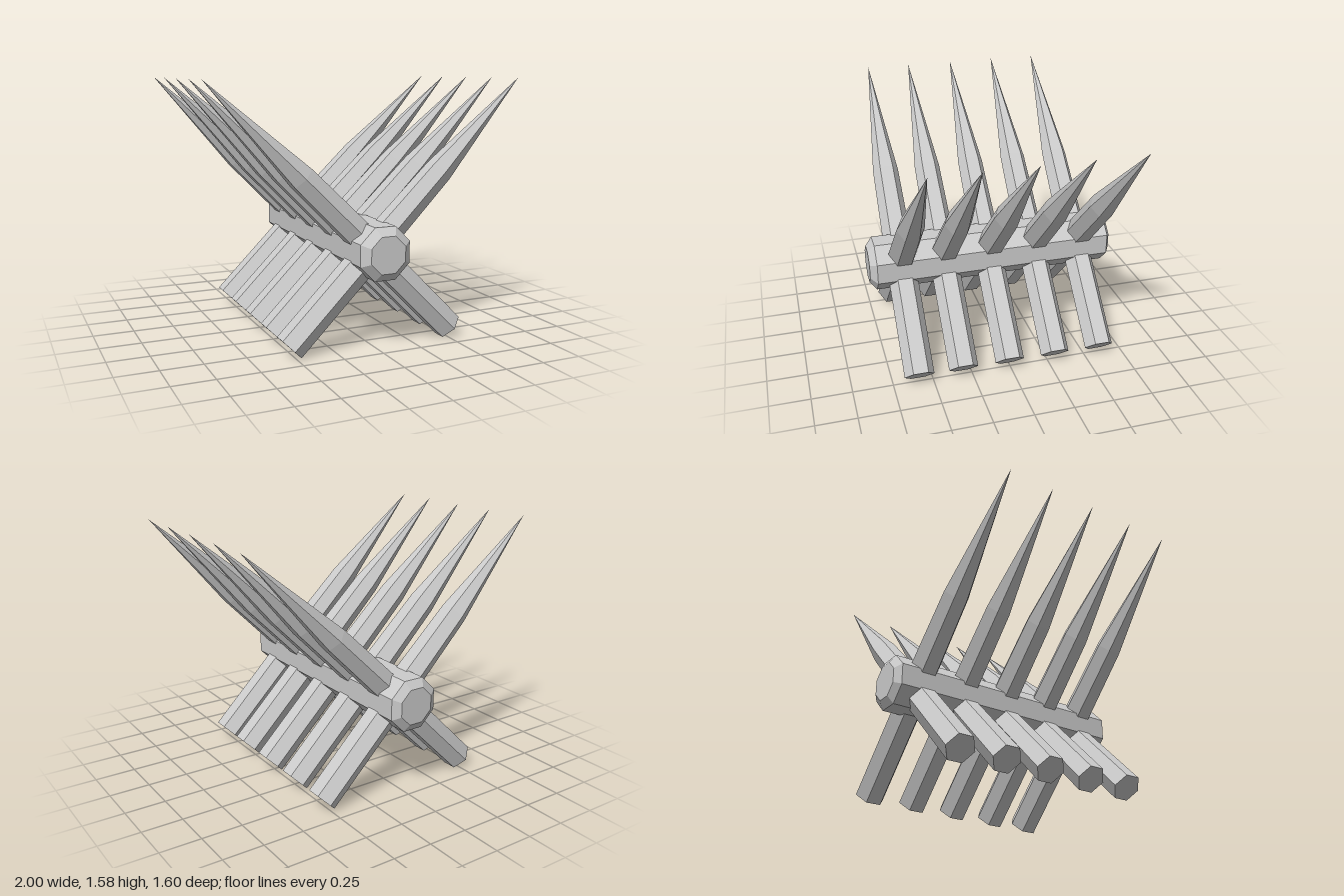
import * as THREE from 'three';

const material = new THREE.MeshStandardMaterial({ color: 0xcccccc, flatShading: true });

// Faceted solid of revolution; profile is [radius, height] from bottom to top
function faceted(profile, sides, phiStart = 0) {
  const points = profile.map(([r, y]) => new THREE.Vector2(r, y));
  return new THREE.LatheGeometry(points, sides, phiStart);
}

export function createModel() {
  const group = new THREE.Group();
  const centreY = 0.593;

  function add(name, geometry, x, y, z, tilt = 0) {
    const mesh = new THREE.Mesh(geometry, material);
    mesh.name = name;
    mesh.position.set(x, y, z);
    mesh.rotation.z = tilt;
    group.add(mesh);
  }

  // Octagonal core with bevelled ends, flats facing up and sideways
  const flat = 1 / Math.cos(Math.PI / 8);
  const core = faceted([
    [0, -0.8], [0.108 * flat, -0.8], [0.157 * flat, -0.768],
    [0.157 * flat, 0.758], [0.108 * flat, 0.8], [0, 0.8],
  ], 8, Math.PI / 8).rotateX(Math.PI / 2);
  add('core', core, 0, centreY, 0);

  // Hexagonal spike: slight taper, then a long point
  const spikeLength = Math.hypot(1, 0.987);
  const spike = faceted([[0, 0], [0.094, 0], [0.083, 0.625], [0, spikeLength]], 6);

  // Hexagonal leg, closed at both ends
  const legLength = 0.741;
  const leg = faceted([[0, 0], [0.093, 0], [0.093, legLength], [0, legLength]], 6);
  const legTopY = 0.058 + legLength * Math.SQRT1_2;

  // Five pairs of spikes and legs along the core
  for (const z of [0.588, 0.308, 0.008, -0.293, -0.594]) {
    for (const side of [1, -1]) {
      const label = side > 0 ? 'left' : 'right';
      add(label + 'Spike', spike, 0, centreY, z, -side * Math.atan2(1, 0.987));
      add(label + 'Leg', leg, 0, legTopY, z, -side * Math.PI * 0.75);
    }
  }
  return group;
}
